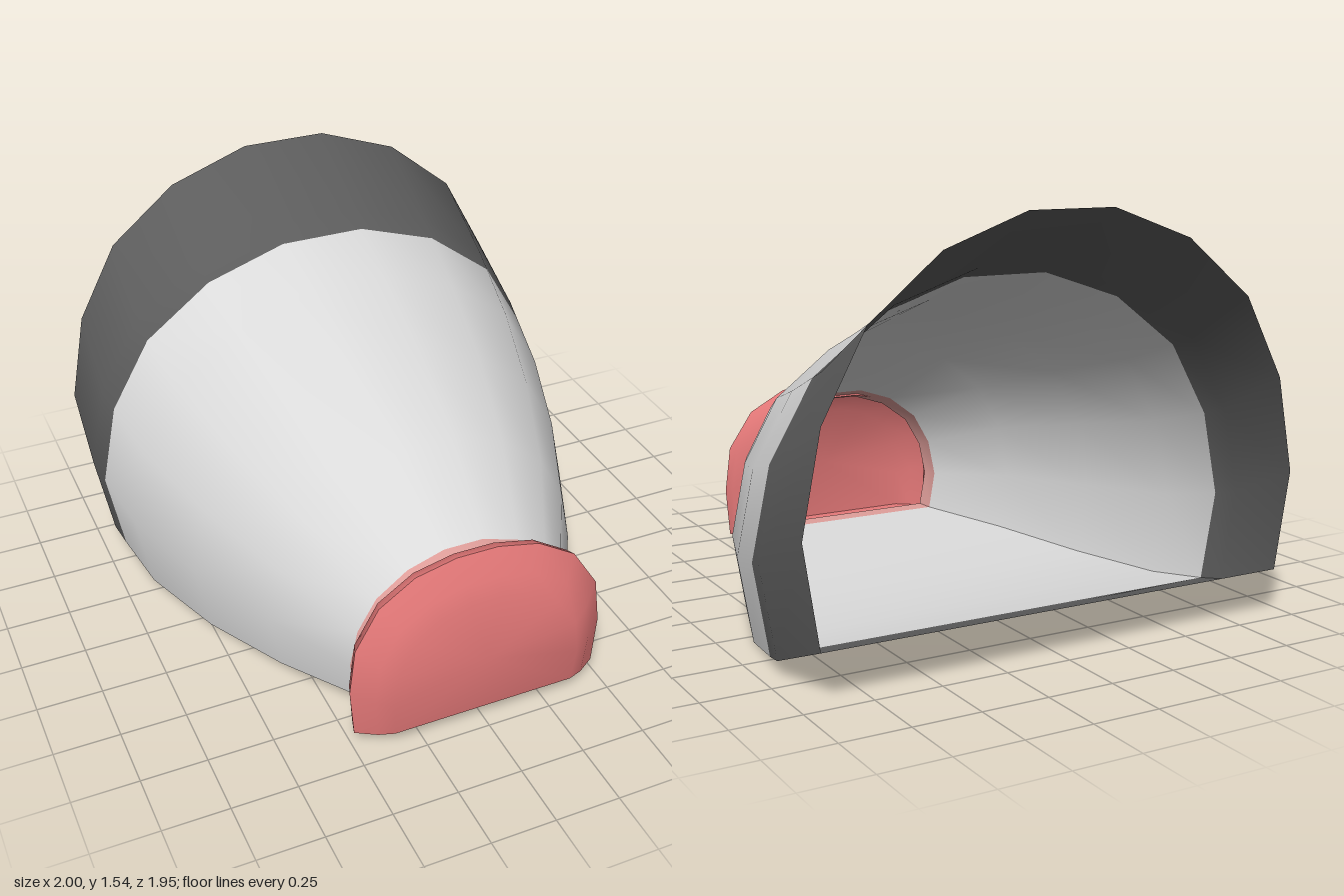
import * as THREE from 'three';
import { toCreasedNormals } from 'three/addons/utils/BufferGeometryUtils.js';

const material = (name, color) => {
  const m = new THREE.MeshStandardMaterial({ color, side: THREE.DoubleSide });
  m.name = name;
  return m;
};

// Half outlines from the bottom corner up: [share of half width, share of height]
const ARCH = [[0.94, 0], [1, 0.27], [0.93, 0.532], [0.765, 0.756], [0.495, 0.916], [0.172, 1]];
const PAD = [[0.97, 0], [1, 0.3], [0.955, 0.585], [0.765, 0.82], [0.48, 0.95], [0.16, 1]];

// Full mirrored ring; bend(v) shifts z along the height
function ring(outline, { z, half, low, high, bend = () => 0 }) {
  const at = ([u, v], side) => [side * u * half, low + v * (high - low), z + bend(v)];
  return [
    ...outline.map((p) => at(p, 1)),
    ...[...outline].reverse().map((p) => at(p, -1)),
  ];
}

// Skin a row of rings ordered back to front; optional centre point closes the front
function skin(rings, centre, crease = 0.85) {
  const n = rings[0].length;
  const index = [];
  for (let s = 0; s < rings.length - 1; s++) {
    for (let i = 0; i < n; i++) {
      const j = (i + 1) % n;
      const a = s * n + i, b = s * n + j;
      index.push(a, b, a + n, b, b + n, a + n);
    }
  }
  const points = rings.flat(2);
  if (centre) {
    const last = (rings.length - 1) * n;
    points.push(...centre);
    for (let i = 0; i < n; i++) index.push(rings.length * n, last + i, last + (i + 1) % n);
  }
  const g = new THREE.BufferGeometry();
  g.setAttribute('position', new THREE.Float32BufferAttribute(points, 3));
  g.setIndex(index);
  return toCreasedNormals(g, crease);
}

export function createModel() {
  const model = new THREE.Group();
  const add = (name, geometry, mat) => {
    const mesh = new THREE.Mesh(geometry, mat);
    mesh.name = name;
    model.add(mesh);
  };

  const lightGrey = material('light grey', 0xdadada);
  const darkGrey = material('dark grey', 0x5c5c5c);
  const pink = material('pink', 0xe07676);
  const palePink = material('pale pink', 0xdc9c98);

  // Hollow tapering shell: z, half width, bottom, top
  const stations = [
    [-0.975, 0.985, 0.18, 1.54],
    [-0.66, 1.0, 0.055, 1.325],
    [-0.56, 0.982, 0.035, 1.285],
    [-0.31, 0.935, 0, 1.18],
    [0.06, 0.805, 0.01, 1.05],
    [0.43, 0.635, 0.05, 0.885],
    [0.745, 0.445, 0.088, 0.655],
    [0.8, 0.425, 0.095, 0.62],
  ].map(([z, half, low, high]) => ring(ARCH, { z, half, low, high }));

  add('rearBand', skin(stations.slice(0, 3)), darkGrey);
  add('shell', skin(stations.slice(2, 7)), lightGrey);
  add('frontBand', skin(stations.slice(6)), palePink);

  // Cushioned pad on the narrow end, bowed forward at mid height
  const bow = (top, bottom) => (v) => (v > 0.45
    ? -top * ((v - 0.45) / 0.55) ** 2
    : -bottom * ((0.45 - v) / 0.45) ** 2);
  const padRings = [
    { z: 0.805, half: 0.42, low: 0.09, high: 0.63, bend: bow(0.035, 0.015) },
    { z: 0.845, half: 0.49, low: 0.055, high: 0.69, bend: bow(0.025, 0.01) },
    { z: 0.885, half: 0.505, low: 0.052, high: 0.697, bend: bow(0.03, 0) },
    { z: 0.945, half: 0.43, low: 0.058, high: 0.61, bend: bow(0.035, 0.01) },
    { z: 0.973, half: 0.37, low: 0.062, high: 0.54, bend: bow(0.035, 0.015) },
  ].map((r) => ring(PAD, r));
  add('frontPad', skin(padRings, [0, 0.3, 0.975]), pink);

  return model;
}
